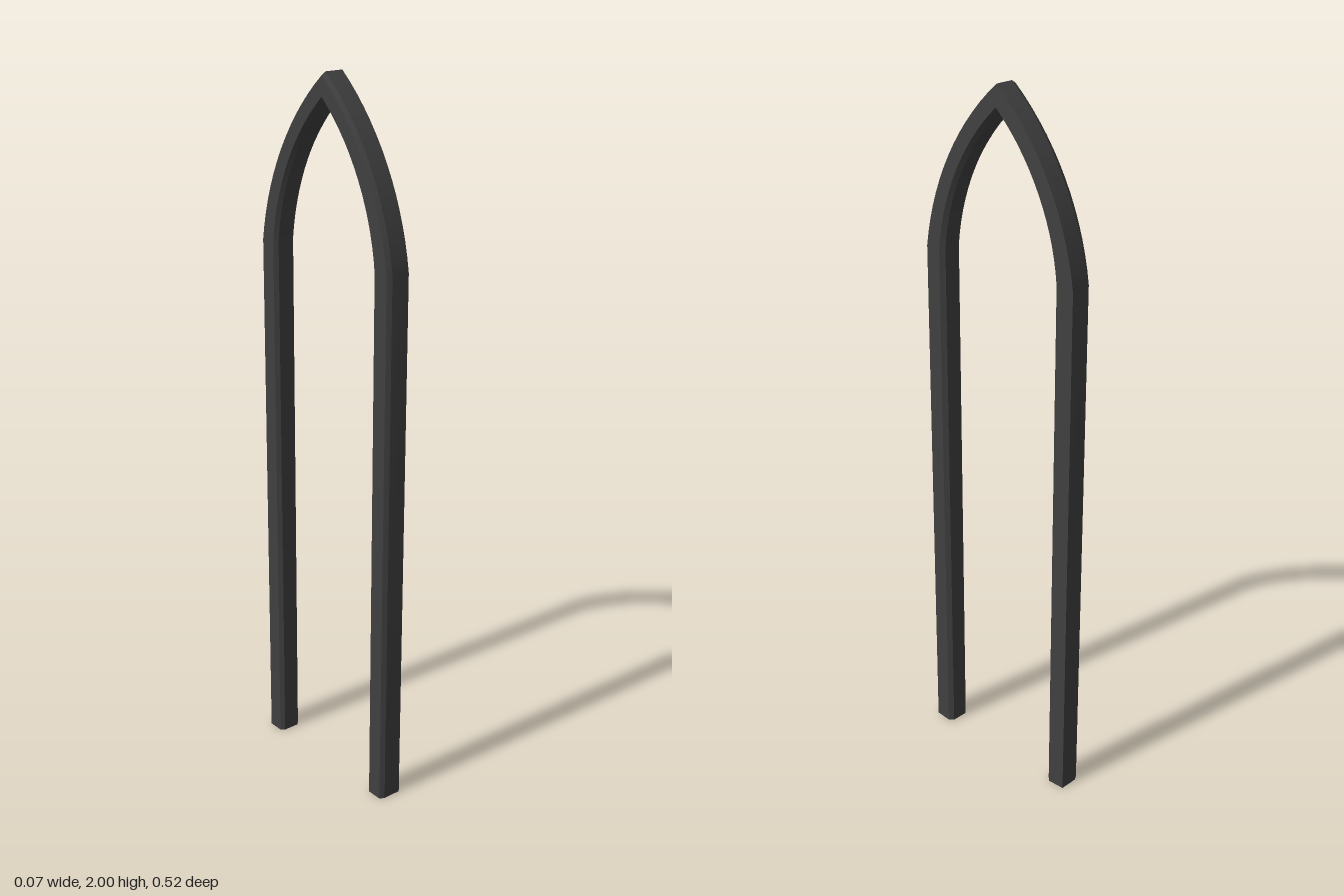
import * as THREE from 'three';
import { toCreasedNormals } from 'three/addons/utils/BufferGeometryUtils.js';

const SPRING = 1.53; // height where the legs meet the arch
const STEPS = 14;

// Point on a circular arc from the springing (z = halfWidth) to the apex (z = 0)
function arcPoint(halfWidth, apex, u) {
  const rise = apex - SPRING;
  const chord = Math.hypot(halfWidth, rise);
  const half = 2 * Math.atan(0.186); // half of the arc's turn
  const radius = chord / (2 * Math.sin(half));
  const a = half * (2 * u - 1);
  const along = chord / 2 + radius * Math.sin(a);
  const bulge = radius * (Math.cos(a) - Math.cos(half));
  return [
    halfWidth - (along * halfWidth) / chord + (bulge * rise) / chord,
    SPRING + (along * rise) / chord + (bulge * halfWidth) / chord,
  ];
}

// Moulding section: [x, t], t = 0 on the outer edge and 1 on the inner edge
const section = [
  [-0.022, 0], [0.032, 0], [0.035, 0.8], [0.024, 1],
  [-0.024, 1], [-0.035, 0.85], [-0.035, 0.12],
];

// Outer and inner edge points along one half, from floor to apex
function halfPath() {
  const path = [{ outer: [0.262, 0], inner: [0.2, 0] }];
  for (let i = 0; i <= STEPS; i++) {
    const u = i / STEPS;
    path.push({ outer: arcPoint(0.262, 2, u), inner: arcPoint(0.2, 1.928, u) });
  }
  return path;
}

function archGeometry() {
  const half = halfPath();
  const mirror = ({ outer, inner }) => ({
    outer: [-outer[0], outer[1]], inner: [-inner[0], inner[1]],
  });
  const path = [...half, ...half.slice(0, -1).reverse().map(mirror)];
  const n = section.length;
  const positions = [], index = [];
  for (const { outer, inner } of path) {
    for (const [x, t] of section) {
      positions.push(
        x,
        THREE.MathUtils.lerp(outer[1], inner[1], t),
        THREE.MathUtils.lerp(outer[0], inner[0], t),
      );
    }
  }
  // Sides
  for (let j = 0; j < path.length - 1; j++) {
    for (let i = 0; i < n; i++) {
      const a = j * n + i, b = j * n + ((i + 1) % n);
      index.push(a, b, b + n, a, b + n, a + n);
    }
  }
  // Feet
  const last = (path.length - 1) * n;
  for (let i = 1; i < n - 1; i++) {
    index.push(0, i + 1, i, last, last + i, last + i + 1);
  }
  const geometry = new THREE.BufferGeometry();
  geometry.setAttribute('position', new THREE.Float32BufferAttribute(positions, 3));
  geometry.setIndex(index);
  return toCreasedNormals(geometry, 0.2);
}

export function createModel() {
  const group = new THREE.Group();
  group.name = 'pointedArch';
  const frame = new THREE.Mesh(
    archGeometry(),
    new THREE.MeshStandardMaterial({ color: 0x404040 }),
  );
  frame.name = 'archFrame';
  group.add(frame);
  return group;
}
